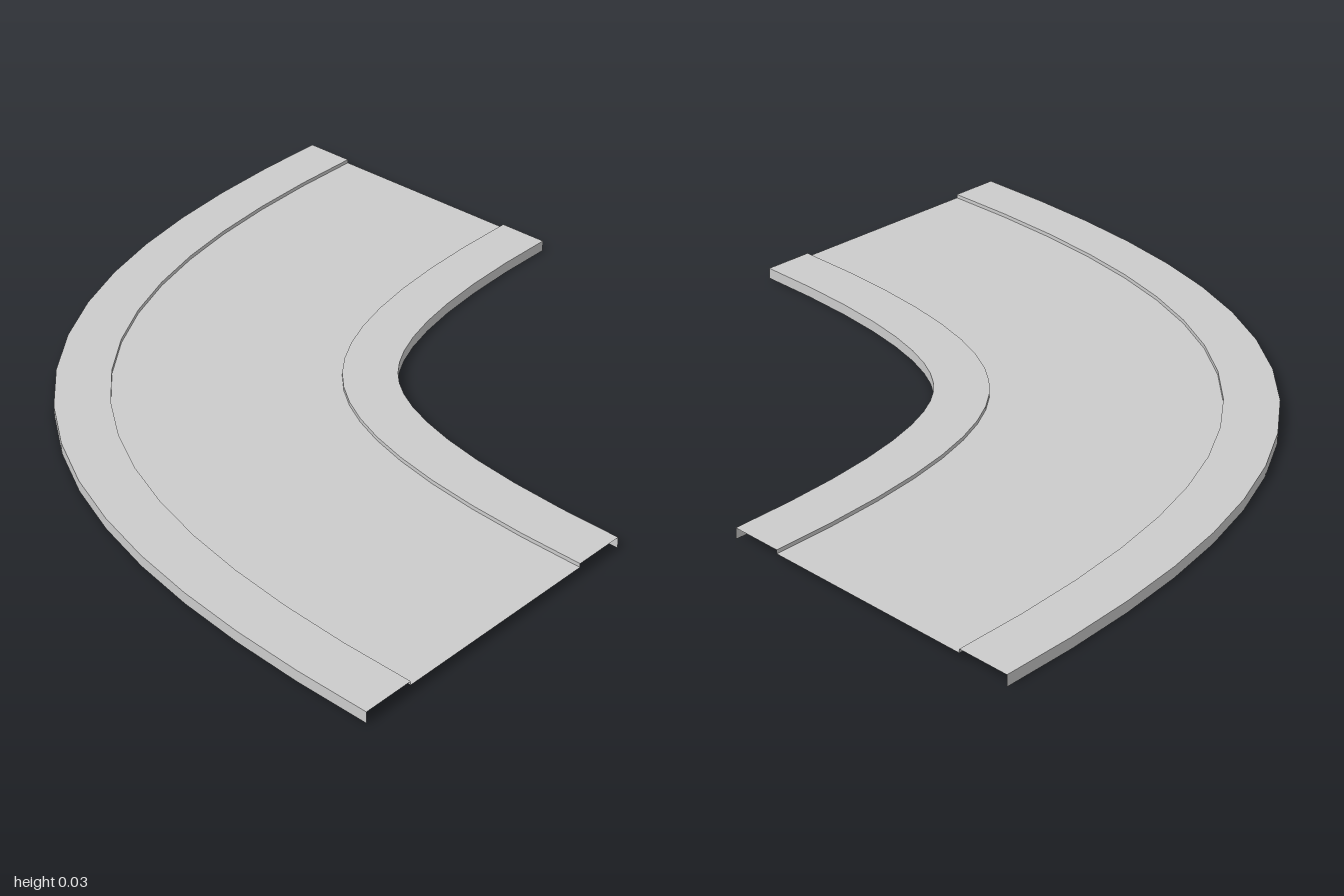
import * as THREE from 'three';

const SEGMENTS = 17;
const EDGE = 0.46, KERB = 0.31;       // offsets from the centre line
const TOP = 0.032, ROAD = 0.021;      // heights

// Centre line of the bend, seen from above (x, z)
const path = new THREE.CubicBezierCurve(
  new THREE.Vector2(-0.525, 1),
  new THREE.Vector2(-0.525, -0.17),
  new THREE.Vector2(-0.163, -0.54),
  new THREE.Vector2(0.985, -0.54)
);

const material = new THREE.MeshStandardMaterial({ color: 0xcccccc, side: THREE.DoubleSide });

// Sweeps the line between two [offset, height] profile points along the path
function strip(name, a, b) {
  const positions = [], index = [];
  for (let i = 0; i <= SEGMENTS; i++) {
    const p = path.getPoint(i / SEGMENTS);
    const t = path.getTangent(i / SEGMENTS);
    for (const [offset, y] of [a, b]) {
      positions.push(p.x - t.y * offset, y, p.y + t.x * offset);
    }
    if (i < SEGMENTS) {
      const k = i * 2;
      index.push(k, k + 2, k + 1, k + 1, k + 2, k + 3);
    }
  }
  const geometry = new THREE.BufferGeometry();
  geometry.setAttribute('position', new THREE.Float32BufferAttribute(positions, 3));
  geometry.setIndex(index);
  geometry.computeVertexNormals();
  const mesh = new THREE.Mesh(geometry, material);
  mesh.name = name;
  return mesh;
}

export function createModel() {
  const group = new THREE.Group();
  group.name = 'curvedRoad';

  // Cross-section from the outer bend to the inner bend, open underneath
  const profile = [
    [-EDGE, 0], [-EDGE, TOP], [-KERB, TOP], [-KERB, ROAD],
    [KERB, ROAD], [KERB, TOP], [EDGE, TOP], [EDGE, 0],
  ];
  const names = [
    'outerSkirt', 'outerPavement', 'outerKerb', 'roadSurface',
    'innerKerb', 'innerPavement', 'innerSkirt',
  ];
  // Points run outer to inner, so the faces point up and outwards
  names.forEach((name, i) => group.add(strip(name, profile[i + 1], profile[i])));
  return group;
}
